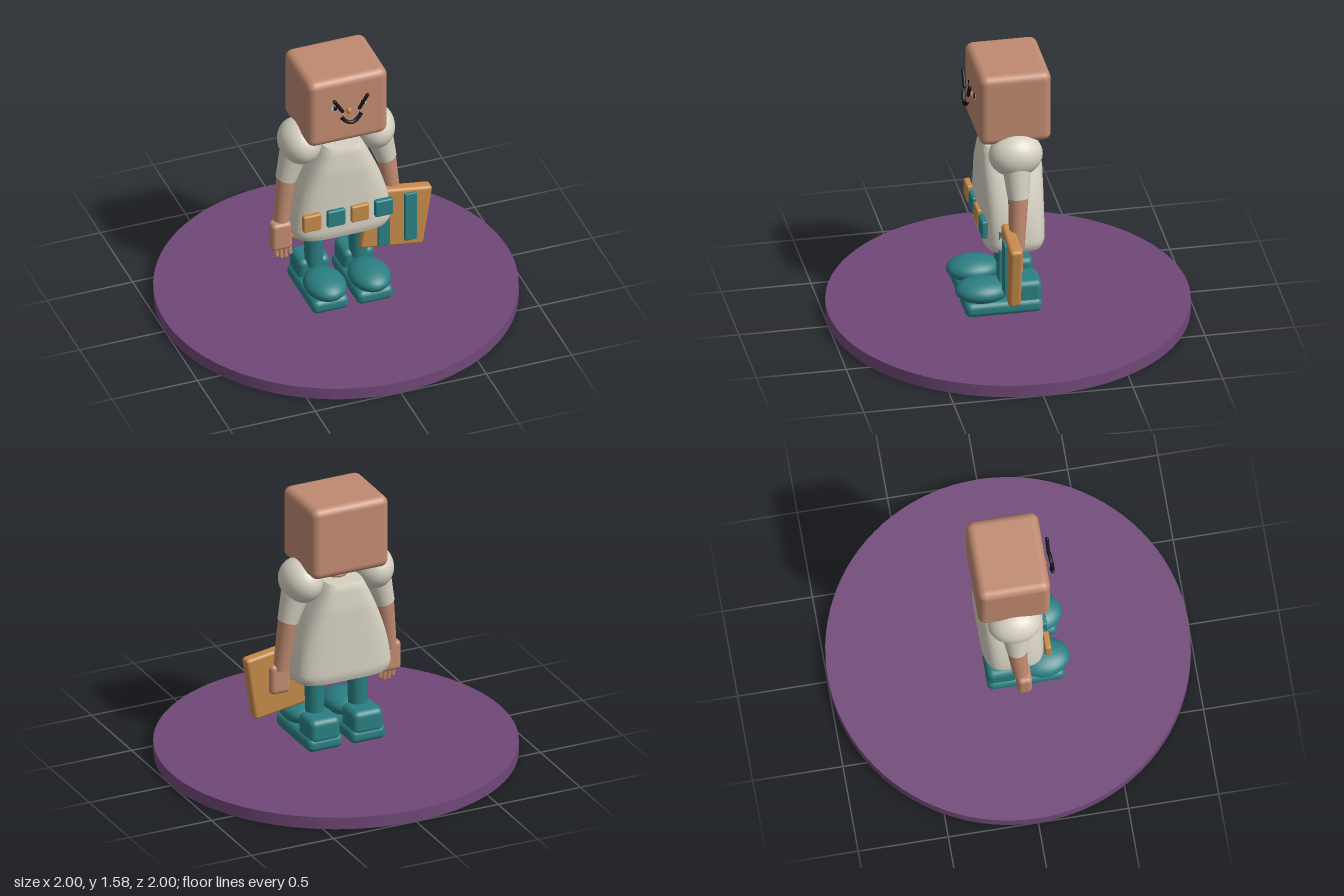
import * as THREE from 'three';
import { RoundedBoxGeometry } from 'three/addons/geometries/RoundedBoxGeometry.js';
import { toCreasedNormals } from 'three/addons/utils/BufferGeometryUtils.js';

const mat = (name, color) => {
  const m = new THREE.MeshStandardMaterial({ color });
  m.name = name;
  return m;
};
const V = (x, y, z) => new THREE.Vector3(x, y, z);

export function createModel() {
  const skin = mat('skin', 0xc08a70), cloth = mat('cloth', 0xd6d1c2), teal = mat('teal', 0x2a7f82);
  const wood = mat('ochre', 0xc58a4a), purple = mat('purple', 0x704878);
  const black = mat('black', 0x151515), white = mat('white', 0xf0f0f0);

  const model = new THREE.Group();
  model.name = 'figure';

  const add = (name, geo, material, x = 0, y = 0, z = 0, parent = model) => {
    const mesh = new THREE.Mesh(geo, material);
    mesh.name = name;
    mesh.position.set(x, y, z);
    parent.add(mesh);
    return mesh;
  };
  const box = (name, m, w, h, d, r, x, y, z, parent) =>
    add(name, new RoundedBoxGeometry(w, h, d, 4, r), m, x, y, z, parent);
  const ball = (name, m, rx, ry, rz, x, y, z, parent) =>
    add(name, new THREE.SphereGeometry(1, 32, 20).scale(rx, ry, rz), m, x, y, z, parent);
  // tapered rod from a to b
  const rod = (name, m, a, b, ra, rb, parent) => {
    const dir = b.clone().sub(a);
    const mesh = add(name, new THREE.CylinderGeometry(rb, ra, dir.length(), 28), m, 0, 0, 0, parent);
    mesh.position.copy(a).lerp(b, 0.5);
    mesh.quaternion.setFromUnitVectors(V(0, 1, 0), dir.normalize());
    return mesh;
  };
  // round-ended rod from a to b
  const capsule = (name, m, a, b, r, parent) => {
    const dir = b.clone().sub(a);
    const mesh = add(name, new THREE.CapsuleGeometry(r, dir.length(), 6, 14), m, 0, 0, 0, parent);
    mesh.position.copy(a).lerp(b, 0.5);
    mesh.quaternion.setFromUnitVectors(V(0, 1, 0), dir.normalize());
    return mesh;
  };

  // round base
  add('base', new THREE.CylinderGeometry(1, 1, 0.07, 96), purple, 0, 0.035, 0);

  // flared tunic: a cylinder reshaped into rounded-rectangle rings
  const tunic = new THREE.CylinderGeometry(1, 1, 1, 64, 28);
  const p = tunic.attributes.position;
  const square = (v) => Math.sign(v) * Math.sqrt(Math.abs(v));
  for (let i = 0; i < p.count; i++) {
    const s = 0.5 - p.getY(i);
    const edge = Math.min(1, 0.93 + (1 - s) * 1.2) * Math.min(1, 0.95 + s * 1.2);
    const w = (0.115 + 0.177 * Math.sin(s * Math.PI / 2)) * edge;
    const d = (0.16 + 0.015 * Math.min(1, s * 4)) * edge;
    p.setXYZ(i, w * square(p.getX(i)), 1.08 - 0.58 * s, d * square(p.getZ(i)));
  }
  add('tunic', toCreasedNormals(tunic, 0.7), cloth);

  // belt pouches
  [-0.21, -0.07, 0.07, 0.21].forEach((x, i) =>
    box('pouch', i % 2 ? teal : wood, 0.105, 0.105, 0.035, 0.01, x, 0.65, 0.18));

  // neck and head
  add('neck', new THREE.CylinderGeometry(0.062, 0.062, 0.12, 32), skin, 0, 1.11, 0);
  for (const y of [1.09, 1.115, 1.14]) {
    add('neckRing', new THREE.TorusGeometry(0.056, 0.01, 8, 32).rotateX(Math.PI / 2), skin, 0, y, 0);
  }
  box('head', skin, 0.467, 0.425, 0.4, 0.045, 0, 1.363, 0);

  // face
  ball('nose', wood, 0.015, 0.02, 0.012, 0, 1.36, 0.203);
  const smile = new THREE.QuadraticBezierCurve3(V(-0.06, 1.357, 0.235), V(0, 1.265, 0.252), V(0.06, 1.357, 0.235));
  add('mouth', new THREE.TubeGeometry(smile, 20, 0.011, 8), black);

  for (const side of [-1, 1]) {
    const S = (x, y, z) => V(side * x, y, z);

    // eye and brow
    ball('eyeWhite', white, 0.02, 0.016, 0.004, side * 0.082, 1.393, 0.2);
    ball('pupil', black, 0.014, 0.016, 0.007, side * 0.08, 1.395, 0.201);
    capsule('brow', black, S(0.097, 1.463, 0.232), S(0.05, 1.387, 0.232), 0.01);

    // arm
    const arm = new THREE.Group();
    arm.name = side > 0 ? 'leftArm' : 'rightArm';
    model.add(arm);
    ball('shoulder', cloth, 0.118, 0.125, 0.15, side * 0.215, 1.083, 0, arm);
    rod('sleeve', cloth, S(0.235, 1.06, 0), S(0.293, 0.85, 0), 0.085, 0.058, arm);
    rod('forearm', skin, S(0.29, 0.865, 0), S(0.33, 0.56, 0.015), 0.056, 0.042, arm);

    // hand
    box('palm', skin, 0.12, 0.175, 0.08, 0.025, side * 0.337, 0.505, 0.03, arm);
    for (let i = 0; i < 4; i++) {
      const x = 0.285 + i * 0.026, tip = i % 3 ? 0.364 : 0.378;
      capsule('finger', skin, S(x + 0.005, 0.44, 0.035), S(x, tip, 0.04), 0.014, arm);
    }
    capsule('thumb', skin, S(0.285, 0.5, 0.035), S(0.222, 0.462, 0.045), 0.021, arm);

    // leg and shoe
    const leg = new THREE.Group();
    leg.name = side > 0 ? 'leftLeg' : 'rightLeg';
    model.add(leg);
    const x = side * 0.13;
    rod('thigh', teal, V(x, 0.4, 0), V(x, 0.56, 0), 0.056, 0.064, leg);
    rod('shin', teal, V(x, 0.24, 0), V(x, 0.41, 0), 0.05, 0.056, leg);
    box('sole', teal, 0.215, 0.085, 0.43, 0.035, x, 0.133, 0.065, leg);
    box('heel', teal, 0.185, 0.14, 0.175, 0.035, x, 0.21, -0.063, leg);
    ball('toe', teal, 0.115, 0.067, 0.15, x, 0.213, 0.17, leg);
  }

  // tilted board carried in the left hand, with two upright bands
  const board = box('board', wood, 0.375, 0.375, 0.07, 0.02, 0.322, 0.487, 0.055);
  board.rotation.z = -0.15;
  for (const x of [0.243, 0.4]) box('boardBand', teal, 0.07, 0.31, 0.02, 0.005, x, 0.485, 0.095);

  return model;
}
